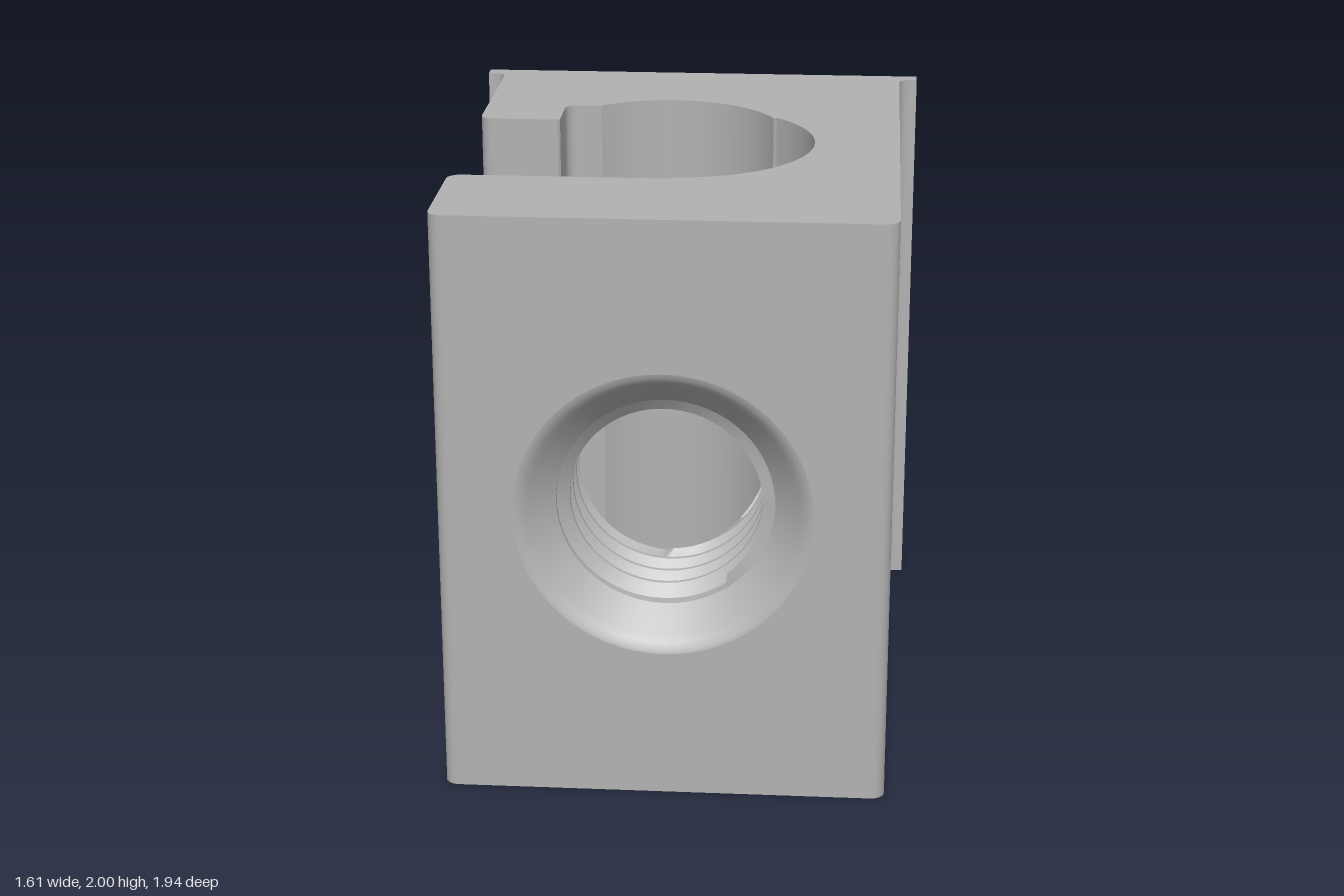
import * as THREE from 'three';
import { toCreasedNormals } from 'three/addons/utils/BufferGeometryUtils.js';

const FRONT = 0.97, HEIGHT = 2, MID = 1;
const SINK = 0.49, ROOT = 0.36, CREST = 0.32, SEAT = 0.85, PITCH = 0.1, N = 64;

// points [x, z] along a circular arc
function arc(cx, cz, r, a0, a1, n = 5) {
  return Array.from({ length: n + 1 }, (_, i) => {
    const a = a0 + (a1 - a0) * i / n;
    return [cx + r * Math.cos(a), cz + r * Math.sin(a)];
  });
}

// cavity face behind the threaded hole
const cavityZ = x => (x < -1e-6 ? 0.5 : 0.02 + Math.sqrt(0.465 ** 2 - (x + 0.015) ** 2));

// plan outline of the block
function outline() {
  const P = Math.PI, edge = Math.acos(0.335 / 0.465);
  const frontEdge = Array.from({ length: N / 2 + 1 }, (_, i) => [-SINK * Math.cos(P * i / (N / 2)), FRONT]);
  const innerEdge = Array.from({ length: N / 4 + 1 }, (_, i) => [-CREST * Math.sin(P * i / (N / 2)), 0.5]);
  return [
    ...arc(-0.695, 0.925, 0.045, P, P / 2), ...frontEdge,
    ...arc(0.695, 0.925, 0.045, P / 2, 0),
    // back flange
    ...arc(0.785, -0.87, 0.045, P, 1.5 * P),
    [0.805, -0.915], [0.805, -0.97], [-0.805, -0.97], [-0.805, -0.915],
    ...arc(-0.785, -0.87, 0.045, -P / 2, 0),
    // short hooked arm
    ...arc(-0.7, -0.275, 0.04, P, P / 2), [-0.465, -0.235], [-0.457, -0.243],
    ...arc(-0.417, -0.405, 0.04, P, 1.5 * P), [-0.33, -0.445],
    // two-lobed cavity
    ...arc(-0.07, -0.145, 0.4, 3.998, 5.864, 24),
    ...arc(-0.015, 0.02, 0.465, -0.808, edge, 20),
    ...arc(-0.015, 0.02, 0.465, edge, Math.acos(0.015 / 0.465), 20).slice(1),
    // long front arm
    ...innerEdge, ...arc(-0.695, 0.545, 0.045, -P / 2, -P)
  ].filter((p, i, all) => !i || Math.hypot(p[0] - all[i - 1][0], p[1] - all[i - 1][1]) > 1e-4);
}

function fromTriangles(list, crease) {
  const g = new THREE.BufferGeometry();
  g.setAttribute('position', new THREE.Float32BufferAttribute(list, 3));
  return toCreasedNormals(g, crease);
}

function addQuad(list, a, b, c, d) {
  for (const t of [[a, b, c], [a, c, d]]) {
    const [p, q, r] = t.map(v => new THREE.Vector3(...v));
    if (q.sub(p).cross(r.sub(p)).length() > 1e-9) list.push(...t.flat());
  }
}

// upright walls, leaving the round openings of the hole
function wallGeometry(pts) {
  const half = ([x, z]) => {
    const r = z > 0.9 ? SINK : z > 0.25 && z < 0.51 ? CREST : 0;
    return Math.sqrt(Math.max(0, r * r - x * x));
  };
  const list = [];
  pts.forEach((a, i) => {
    const b = pts[(i + 1) % pts.length], ha = half(a), hb = half(b);
    const at = (p, y) => [p[0], y, p[1]];
    addQuad(list, at(a, 0), at(b, 0), at(b, MID - hb), at(a, MID - ha));
    addQuad(list, at(a, MID + ha), at(b, MID + hb), at(b, HEIGHT), at(a, HEIGHT));
  });
  return fromTriangles(list, 0.5);
}

// surface around the hole axis; rowAt(theta, row) gives [radius, z]
function boreGeometry(rows, rowAt, crease) {
  const list = [];
  const at = (i, j) => {
    const t = 2 * Math.PI * i / N, [r, z] = rowAt(t, j);
    return [r * Math.cos(t), MID + r * Math.sin(t), z];
  };
  for (let j = 0; j < rows - 1; j++)
    for (let i = 0; i < N; i++) addQuad(list, at(i, j), at(i + 1, j), at(i + 1, j + 1), at(i, j + 1));
  return fromTriangles(list, crease);
}

// helical thread, trimmed at the countersink and at the cavity
function threadPoint(theta, j) {
  const k = Math.floor(j / 4) - 1, s = j % 4;
  const z = SEAT - PITCH * (k + [0, 0.15, 0.5, 0.65][s] + theta / (2 * Math.PI));
  const end = cavityZ(CREST * Math.cos(theta));
  if (z >= SEAT) return [ROOT, SEAT];
  if (z <= end) return [CREST, end];
  return [s < 2 ? CREST : ROOT, z];
}

export function createModel() {
  const group = new THREE.Group();
  const metal = new THREE.MeshStandardMaterial({ color: 0xb2b2b2 });
  metal.name = 'plain grey metal';
  const add = (name, geometry) => {
    const mesh = new THREE.Mesh(geometry, metal);
    mesh.name = name;
    group.add(mesh);
    return mesh;
  };

  const pts = outline();
  add('walls', wallGeometry(pts));

  // end faces
  const face = sign => new THREE.ShapeGeometry(
    new THREE.Shape(pts.map(([x, z]) => new THREE.Vector2(x, sign * z)))).rotateX(sign * Math.PI / 2);
  add('topFace', face(-1)).position.y = HEIGHT;
  add('bottomFace', face(1));

  // countersunk threaded hole
  const sink = [[SINK, FRONT], [0.475, 0.966], [0.457, 0.953], [0.44, 0.936], [ROOT, SEAT]];
  add('countersink', boreGeometry(sink.length, (t, j) => sink[j], 0.6));
  add('thread', boreGeometry(36, threadPoint, 0.4));
  return group;
}
